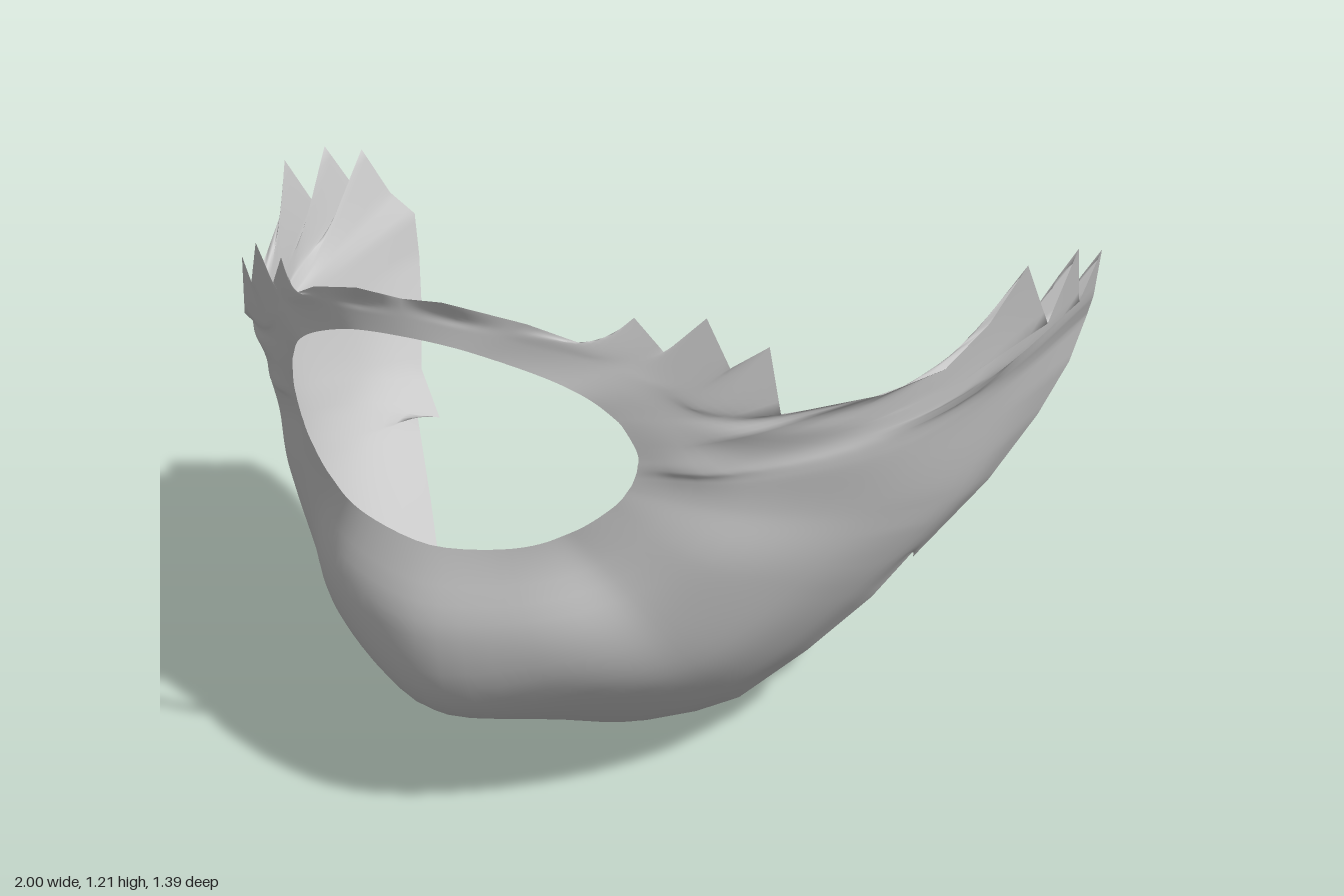
import * as THREE from 'three';

const V = (p) => new THREE.Vector3(...p);

// Torn outer edge on the model's left, from above the mouth, around the ear, to the chin
const outer = [
  [0, 1.195, 0.68], [0.1, 1.205, 0.69], [0.25, 1.17, 0.63], [0.36, 1.12, 0.56],
  [0.42, 1.18, 0.52], [0.47, 1.11, 0.49], [0.54, 1.18, 0.455], [0.58, 1.08, 0.43],
  [0.64, 1.12, 0.385], [0.66, 0.98, 0.365], [0.79, 0.985, 0.17], [0.865, 1.01, 0.03],
  [0.91, 1.08, -0.09], [0.955, 1.19, -0.17], [0.965, 1.03, -0.31], [0.995, 1.18, -0.385],
  [0.975, 1.03, -0.5], [1, 1.14, -0.55], [0.97, 1.01, -0.63], [0.94, 0.94, -0.7],
  [0.915, 0.83, -0.68], [0.87, 0.71, -0.62], [0.8, 0.57, -0.51], [0.68, 0.4, -0.37],
  [0.715, 0.46, -0.28], [0.65, 0.36, -0.2], [0.54, 0.24, -0.1], [0.41, 0.12, -0.02],
  [0.33, 0.09, 0.04], [0.2, 0.03, 0.04], [0, 0, 0.06],
].map(V);

// The lower edge is torn differently on the other side (given mirrored)
const outerOther = outer.slice();
[[0.71, 0.46, -0.46], [0.74, 0.48, -0.4], [0.6, 0.32, -0.25], [0.475, 0.17, -0.11],
  [0.485, 0.21, -0.04]].forEach((p, i) => { outerOther[23 + i] = V(p); });

// Mouth opening: an oval that bends back towards its corners
function mouthPoint(degrees) {
  const a = THREE.MathUtils.degToRad(degrees);
  const s = Math.sin(a), c = Math.cos(a);
  return new THREE.Vector3(0.42 * s, 0.888 + 0.235 * c, 0.65 + 0.04 * c - 0.15 * s * s);
}

// Spokes: outer edge index, mouth angle, and three points between (straight if none)
const spokes = [
  [0, 0], [2, 20], [5, 47], [9, 70],
  [10, 85, [0.51, 0.92, 0.455], [0.61, 0.94, 0.39], [0.7, 0.965, 0.29]],
  [15, 95, [0.56, 0.86, 0.41], [0.75, 0.89, 0.17], [0.885, 0.95, -0.1]],
  [19, 101, [0.59, 0.83, 0.37], [0.78, 0.84, 0.1], [0.885, 0.88, -0.27]],
  [22, 107, [0.58, 0.76, 0.36], [0.74, 0.69, 0.08], [0.81, 0.62, -0.25]],
  [25, 118, [0.53, 0.65, 0.4], [0.63, 0.54, 0.2], [0.665, 0.44, -0.02]],
  [27, 135, [0.42, 0.55, 0.47], [0.47, 0.38, 0.34], [0.46, 0.24, 0.16]],
  [29, 155, [0.24, 0.5, 0.61], [0.25, 0.33, 0.53], [0.24, 0.16, 0.29]],
  [30, 180, [0, 0.47, 0.675], [0, 0.27, 0.61], [0, 0.13, 0.31]],
].map(([k, angle, ...mids]) => {
  const inner = mouthPoint(angle);
  const between = mids.length
    ? mids.map(V)
    : [0.25, 0.5, 0.75].map((f) => inner.clone().lerp(outer[k], f));
  return { k, pts: [inner, ...between] };
});

// Mirrored end spokes keep the surface smooth across the middle
const flip = (s, k) => ({ k, pts: s.pts.map((p) => new THREE.Vector3(-p.x, p.y, p.z)) });
const keys = [flip(spokes[1], -2), ...spokes, flip(spokes.at(-2), 31)];

// Smooth interpolation of ring r between the spokes
function ringPoint(r, u) {
  let i = 1;
  while (i < keys.length - 3 && u > keys[i + 1].k) i++;
  const [a, b, c, d] = keys.slice(i - 1, i + 3);
  const h = c.k - b.k, t = (u - b.k) / h, t2 = t * t, t3 = t2 * t;
  const slope = (p, q) => q.pts[r].clone().sub(p.pts[r]).multiplyScalar(h / (q.k - p.k));
  return new THREE.Vector3()
    .addScaledVector(b.pts[r], 2 * t3 - 3 * t2 + 1)
    .addScaledVector(slope(a, c), t3 - 2 * t2 + t)
    .addScaledVector(c.pts[r], 3 * t2 - 2 * t3)
    .addScaledVector(slope(b, d), t3 - t2);
}

// One column of the shell, from the mouth opening to the torn outer edge
function column(u, edge, side, rows) {
  const i = Math.min(Math.floor(u), edge.length - 2);
  const pts = [0, 1, 2, 3].map((r) => ringPoint(r, u));
  pts.push(edge[i].clone().lerp(edge[i + 1], u - i));
  const curve = new THREE.CatmullRomCurve3(pts, false, 'catmullrom', 0.5);
  return curve.getPoints(rows).map((p) => p.setX(p.x * side));
}

export function createModel() {
  const step = 5, rows = 20, last = (outer.length - 1) * step;
  const columns = [];
  for (let c = 0; c <= last; c++) columns.push(column(c / step, outer, 1, rows));
  for (let c = last - 1; c > 0; c--) columns.push(column(c / step, outerOther, -1, rows));

  // Join the columns into a closed band around the mouth
  const index = [], n = columns.length, w = rows + 1;
  for (let c = 0; c < n; c++) {
    for (let v = 0; v < rows; v++) {
      const a = c * w + v, d = ((c + 1) % n) * w + v;
      index.push(a, a + 1, d, d, a + 1, d + 1);
    }
  }
  // Wind the faces so that they look outwards
  index.reverse();
  const geometry = new THREE.BufferGeometry().setFromPoints(columns.flat());
  geometry.setIndex(index);
  geometry.computeVertexNormals();

  const shell = new THREE.Mesh(geometry, new THREE.MeshStandardMaterial({
    color: 0xcccccc, side: THREE.DoubleSide,
  }));
  shell.name = 'jawShell';
  const model = new THREE.Group();
  model.name = 'lowerFaceMask';
  model.add(shell);
  return model;
}
